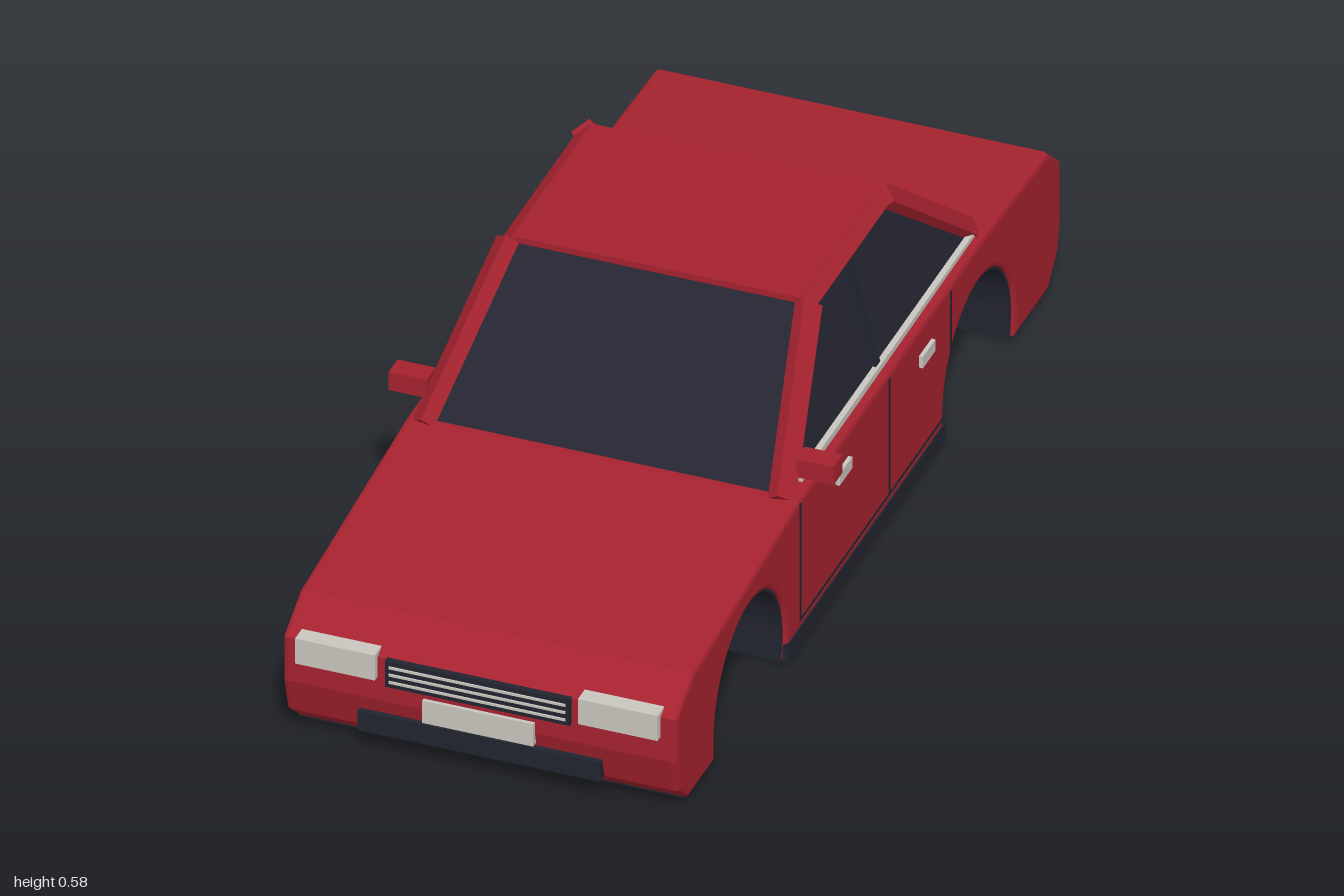
import * as THREE from 'three';

const mat = (name, color) => {
  const m = new THREE.MeshStandardMaterial({ color });
  m.name = name;
  return m;
};

export function createModel() {
  const car = new THREE.Group();
  car.name = 'car';
  const red = mat('red paint', 0xa5222f);
  const dark = mat('dark trim', 0x22242f);
  const glass = mat('tinted glass', 0x242530);
  const silver = mat('silver', 0xc8c5be);

  const add = (name, geo, material) => {
    const m = new THREE.Mesh(geo, material);
    m.name = name;
    car.add(m);
    return m;
  };
  const box = (name, material, w, h, d, x, y, z) =>
    add(name, new THREE.BoxGeometry(w, h, d).translate(x, y, z), material);
  // Extrude a (z, y) outline across the car, centred on x = 0
  const across = (shape, width, bevel = 0) =>
    new THREE.ExtrudeGeometry(shape, {
      depth: width - 2 * bevel, curveSegments: 16, bevelEnabled: bevel > 0,
      bevelSize: bevel, bevelThickness: bevel, bevelOffset: -bevel, bevelSegments: 2,
    }).translate(0, 0, bevel - width / 2).rotateY(-Math.PI / 2);
  // Square bar between two points, turned about its axis by the up direction
  const bar = (name, material, a, b, w, h, up) => {
    const p = new THREE.Vector3(...a), q = new THREE.Vector3(...b);
    const m = add(name, new THREE.BoxGeometry(w, h, p.distanceTo(q)), material);
    m.position.copy(p).add(q).multiplyScalar(0.5);
    m.quaternion.setFromRotationMatrix(new THREE.Matrix4().lookAt(p, q, new THREE.Vector3(...up)));
    return m;
  };

  // Body shell with cut wheel arches
  const AXLES = [-0.557, 0.605], R = 0.18, AY = 0.06, FLOOR = 0.005;
  const outline = new THREE.Shape();
  [[0.92, FLOOR], [0.965, 0.045], [0.985, 0.12], [0.985, 0.215], [0.897, 0.265], [0.36, 0.315],
    [-0.6, 0.323], [-0.91, 0.308], [-0.975, 0.25], [-0.975, 0.12], [-0.96, 0.06], [-0.91, FLOOR],
  ].forEach(([z, y], i) => (i ? outline.lineTo(z, y) : outline.moveTo(z, y)));
  for (const z of AXLES) {
    outline.lineTo(z - R, FLOOR);
    outline.absarc(z, AY, R, Math.PI, 0, true);
    outline.lineTo(z + R, FLOOR);
  }
  outline.closePath();
  add('body', across(outline, 0.78, 0.01), red);

  // Wheel wells: a solid core between the wheels and a thin arch lining
  for (const z of AXLES) {
    const core = new THREE.Shape();
    core.moveTo(z - R, 0.003);
    core.absarc(z, AY, R, Math.PI, 0, true);
    core.lineTo(z + R, 0.003);
    add('wheelWellCore', across(core, 0.5), dark);
    const lining = new THREE.Shape();
    lining.moveTo(z - R - 0.002, 0.003);
    lining.absarc(z, AY, R + 0.002, Math.PI, 0, true);
    lining.lineTo(z + R + 0.002, 0.003);
    lining.lineTo(z + R - 0.005, 0.003);
    lining.absarc(z, AY, R - 0.005, 0, Math.PI, false);
    lining.lineTo(z - R + 0.005, 0.003);
    add('wheelWellLining', across(lining, 0.764), dark);
  }

  // Underside between the wells
  for (const [z0, z1] of [[-0.908, -0.737], [-0.377, 0.425], [0.785, 0.918]])
    box('underside', dark, 0.765, 0.007, z1 - z0, 0, 0.0035, (z0 + z1) / 2);

  // Glass cabin: a box tapered towards the roof
  const cabin = new THREE.BoxGeometry(1, 1, 1);
  const pos = cabin.attributes.position;
  for (let i = 0; i < pos.count; i++) {
    const top = pos.getY(i) > 0, front = pos.getZ(i) > 0;
    pos.setXYZ(i, Math.sign(pos.getX(i)) * (top ? 0.297 : 0.366), top ? 0.555 : 0.305,
      top ? (front ? 0.08 : -0.32) : (front ? 0.36 : -0.605));
  }
  cabin.computeVertexNormals();
  add('windows', cabin, glass);
  box('roof', red, 0.57, 0.022, 0.405, 0, 0.557, -0.124);

  for (const s of [-1, 1]) {
    // Roof pillars and rails
    const up = [0.62 * s, 0.78, 0];
    bar('frontPillar', red, [0.355 * s, 0.31, 0.36], [0.298 * s, 0.556, 0.075], 0.042, 0.03, up);
    bar('rearPillar', red, [0.355 * s, 0.315, -0.602], [0.295 * s, 0.558, -0.31], 0.042, 0.03, up);
    bar('roofRail', red, [0.294 * s, 0.555, 0.085], [0.294 * s, 0.555, -0.32], 0.032, 0.018, up);
    bar('middlePillar', dark, [0.366 * s, 0.31, -0.1], [0.302 * s, 0.55, -0.1], 0.022, 0.014, [s, 0, 0]);
    box('windowTrim', silver, 0.012, 0.014, 0.88, 0.367 * s, 0.325, -0.14);

    // Sill, door seams and handles
    box('sill', dark, 0.02, 0.038, 0.8, 0.383 * s, 0.019, 0.024);
    for (const [z, y0, y1] of [[0.355, 0.05, 0.308], [-0.098, 0.05, 0.308], [-0.41, 0.17, 0.308]])
      box('doorSeam', dark, 0.006, y1 - y0, 0.007, 0.388 * s, (y0 + y1) / 2, z);
    box('doorSeam', dark, 0.006, 0.006, 0.74, 0.388 * s, 0.052, -0.012);
    for (const z of [0.142, -0.281])
      box('doorHandle', silver, 0.014, 0.025, 0.064, 0.391 * s, 0.251, z);

    // Door mirror with dark face towards the rear
    box('mirror', red, 0.075, 0.04, 0.045, 0.403 * s, 0.356, 0.292);
    box('mirrorGlass', dark, 0.062, 0.032, 0.006, 0.404 * s, 0.356, 0.268);

    // Lights
    box('headlight', silver, 0.158, 0.055, 0.04, 0.28 * s, 0.199, 0.98);
    box('rearLight', silver, 0.065, 0.04, 0.012, 0.164 * s, 0.215, -0.976);
  }

  // Front details
  box('grille', dark, 0.366, 0.057, 0.03, 0, 0.188, 0.98);
  for (const y of [0.172, 0.188, 0.204])
    box('grilleBar', silver, 0.35, 0.005, 0.006, 0, y, 0.995);
  box('frontPlate', silver, 0.22, 0.049, 0.02, 0, 0.12, 0.983);
  box('frontBumper', dark, 0.48, 0.043, 0.04, 0, 0.067, 0.968);

  // Rear details
  box('rearPlate', silver, 0.21, 0.048, 0.012, 0, 0.165, -0.976);
  box('rearBumper', dark, 0.68, 0.04, 0.03, 0, 0.07, -0.965);
  add('exhaust', new THREE.CylinderGeometry(0.012, 0.012, 0.12, 12).rotateX(Math.PI / 2)
    .translate(-0.22, 0.025, -0.94), silver);

  return car;
}
